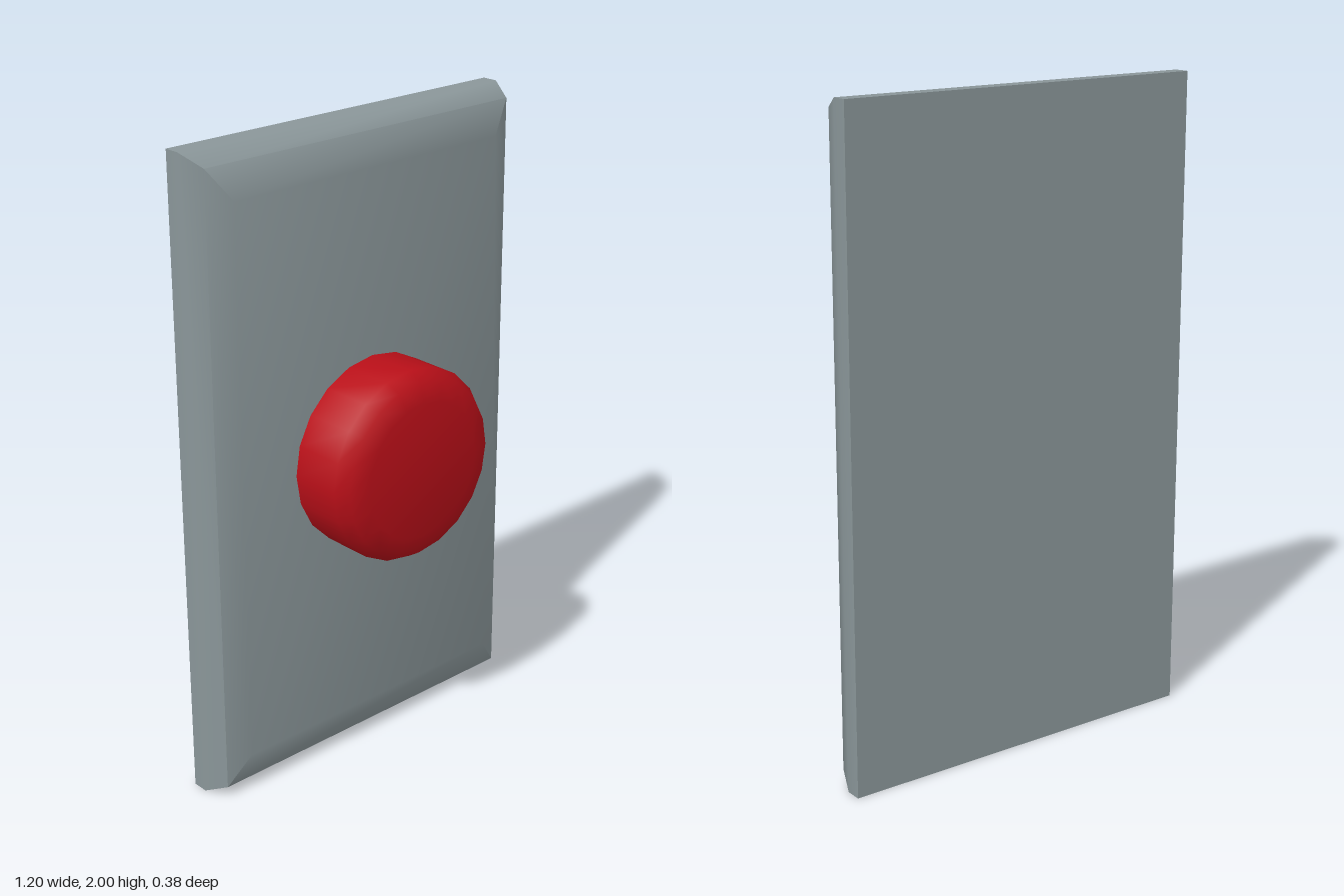
import * as THREE from 'three';
import { toCreasedNormals } from 'three/addons/utils/BufferGeometryUtils.js';

// Closed block made of stacked rectangles [halfWidth, halfHeight, z], back to front
function rectangleLoft(sections) {
  const positions = [];
  const index = [];
  for (const [w, h, z] of sections) {
    positions.push(-w, -h, z, w, -h, z, w, h, z, -w, h, z);
  }
  for (let s = 0; s < sections.length - 1; s++) {
    for (let i = 0; i < 4; i++) {
      const a = s * 4 + i;
      const b = s * 4 + (i + 1) % 4;
      index.push(a, b, b + 4, a, b + 4, a + 4);
    }
  }
  const f = (sections.length - 1) * 4;
  index.push(0, 2, 1, 0, 3, 2); // back
  index.push(f, f + 1, f + 2, f, f + 2, f + 3); // front
  const geometry = new THREE.BufferGeometry();
  geometry.setAttribute('position', new THREE.Float32BufferAttribute(positions, 3));
  geometry.setIndex(index);
  return toCreasedNormals(geometry, 0.9);
}

export function createModel() {
  const group = new THREE.Group();

  // Wall plate: flat back, front edges rounded in three steps
  const plate = new THREE.Mesh(
    rectangleLoft([
      [0.6, 1, -0.188],
      [0.6, 1, -0.138],
      [0.57, 0.965, -0.064],
      [0.496, 0.867, -0.034],
    ]),
    new THREE.MeshStandardMaterial({ color: 0x8a9699 })
  );
  plate.name = 'backPlate';
  plate.position.y = 1;
  group.add(plate);

  // Round push button with a bevelled rim, turned to face +z
  const profile = [
    [0, -0.034], [0.3, -0.034], [0.3, 0.13], [0.274, 0.17], [0.212, 0.187], [0, 0.187],
  ].map(([r, z]) => new THREE.Vector2(r, z));
  const buttonGeometry = new THREE.LatheGeometry(profile, 20).rotateX(Math.PI / 2);
  const button = new THREE.Mesh(
    toCreasedNormals(buttonGeometry, 0.9),
    new THREE.MeshStandardMaterial({ color: 0xb80f18 })
  );
  button.name = 'button';
  button.position.y = 1;
  group.add(button);

  return group;
}
